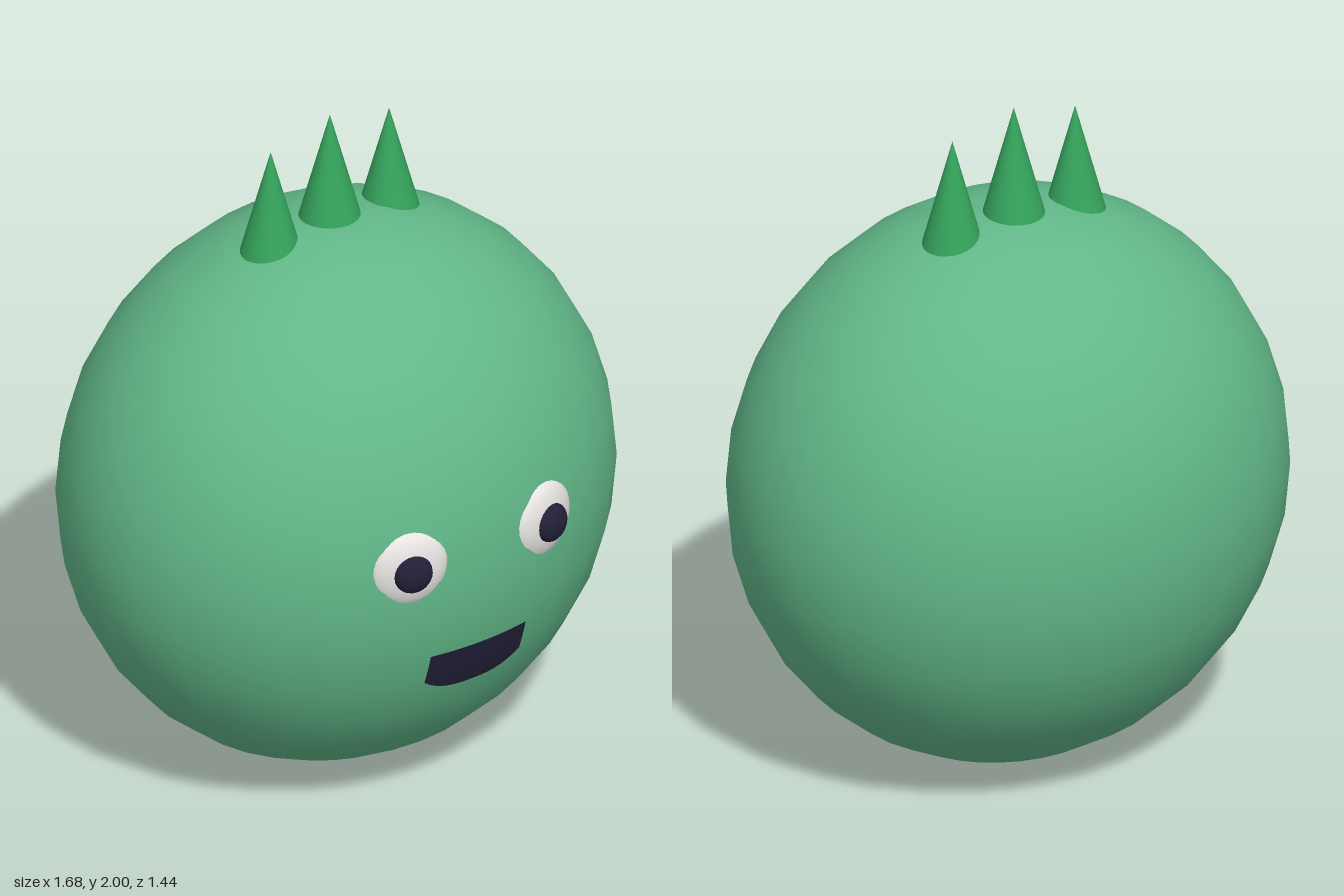
import * as THREE from 'three';

const RADII = new THREE.Vector3(0.84, 0.842, 0.713);
const CENTRE = new THREE.Vector3(0, 0.842, -0.006);

// z of the body's front surface at x, y
function frontZ(x, y) {
  const u = x / RADII.x, v = (y - CENTRE.y) / RADII.y;
  return CENTRE.z + RADII.z * Math.sqrt(1 - u * u - v * v);
}

export function createModel() {
  const model = new THREE.Group();
  const material = (name, color) => {
    const m = new THREE.MeshStandardMaterial({ color });
    m.name = name;
    return m;
  };
  const skin = material('skin green', 0x62b889);
  const spikeGreen = material('spike green', 0x35a45c);
  const white = material('eye white', 0xe8e5e4);
  const dark = material('dark navy', 0x222038);

  const add = (parent, name, geometry, mat, x, y, z) => {
    const mesh = new THREE.Mesh(geometry, mat);
    mesh.name = name;
    mesh.position.set(x, y, z);
    parent.add(mesh);
    return mesh;
  };

  // Round body, flattened front to back
  const body = new THREE.SphereGeometry(1, 32, 16).scale(RADII.x, RADII.y, RADII.z);
  add(model, 'body', body, skin, CENTRE.x, CENTRE.y, CENTRE.z);

  // Three spikes in a row on the head, sunk into the body
  for (const [name, x, tip] of [['rightSpike', -0.21, 1.95], ['middleSpike', 0, 2], ['leftSpike', 0.21, 1.95]]) {
    const height = 0.36;
    add(model, name, new THREE.ConeGeometry(0.098, height, 24), spikeGreen, x, tip - height / 2, -0.035);
  }

  // Lens-shaped eyes with raised pupils, turned to follow the body
  for (const side of [-1, 1]) {
    const eye = new THREE.Group();
    eye.name = side > 0 ? 'leftEye' : 'rightEye';
    eye.position.set(side * 0.235, 0.912, 0.648);
    eye.rotation.y = side * 0.26;
    add(eye, 'eyeball', new THREE.SphereGeometry(1, 24, 16).scale(0.12, 0.118, 0.046), white, 0, 0, 0);
    add(eye, 'pupil', new THREE.SphereGeometry(1, 20, 12).scale(0.058, 0.058, 0.034), dark, 0, 0, 0.04);
    model.add(eye);
  }

  // Open mouth: flat upper edge, rounded lower edge, laid on the curved face
  const mouth = new THREE.PlaneGeometry(2, 1, 24, 8);
  const p = mouth.attributes.position;
  for (let i = 0; i < p.count; i++) {
    const u = p.getX(i), t = p.getY(i) + 0.5;
    const bottom = 0.461 + 0.045 * Math.abs(u) ** 3;
    const x = 0.168 * u, y = THREE.MathUtils.lerp(bottom, 0.605, t);
    p.setXYZ(i, x, y, frontZ(x, y) + 0.003);
  }
  mouth.computeVertexNormals();
  add(model, 'mouth', mouth, dark, 0, 0, 0);

  return model;
}
